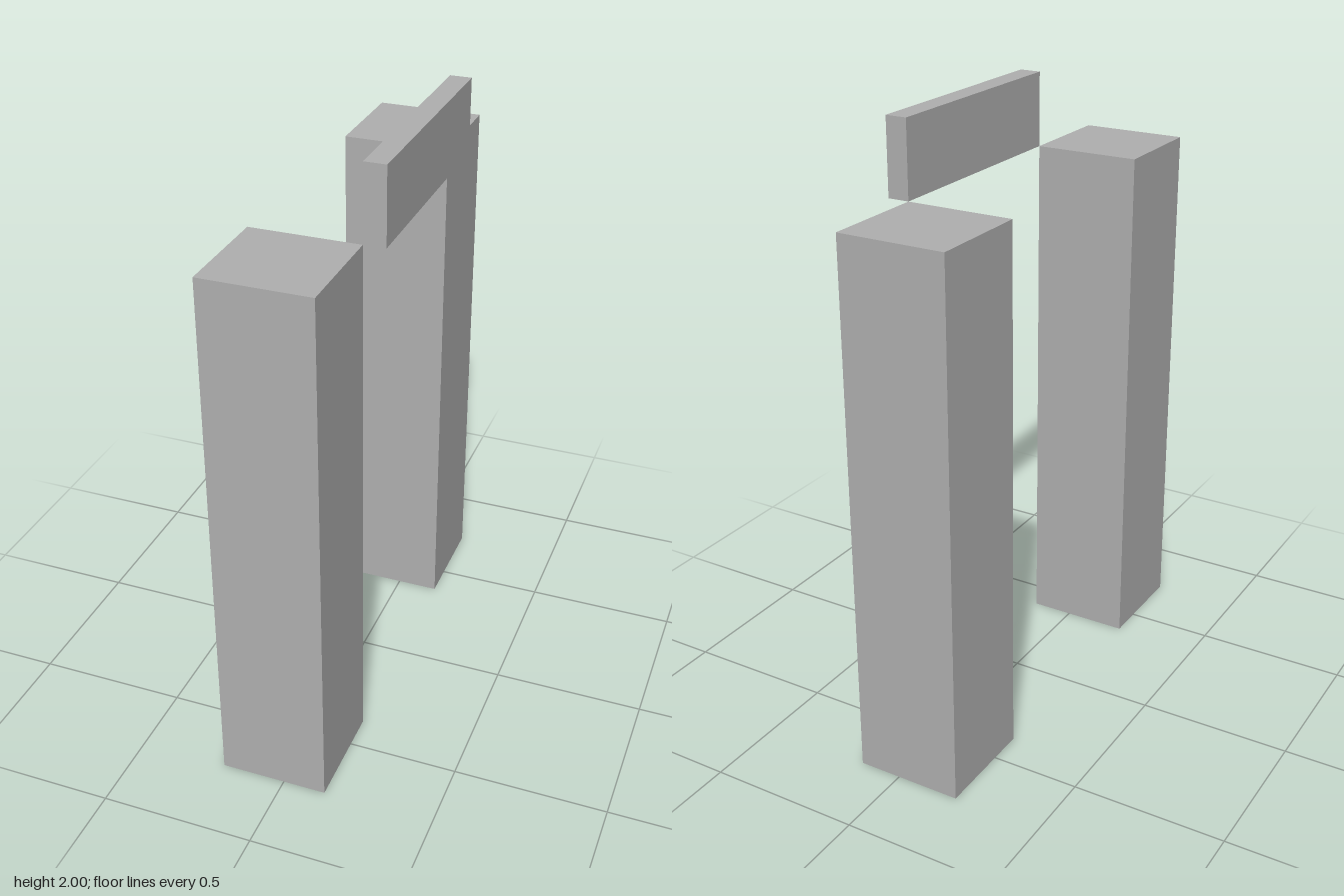
import * as THREE from 'three';

export function createModel() {
  const group = new THREE.Group();
  const grey = new THREE.MeshStandardMaterial({ color: 0xb0b0b0 });
  grey.name = 'grey';

  const pillarWidth = 0.35, pillarHeight = 1.755, gap = 0.77;
  const barDepth = 0.07, totalHeight = 2;
  const left = (pillarWidth + barDepth) / 2;

  function box(name, w, h, d, x, y, z) {
    const mesh = new THREE.Mesh(new THREE.BoxGeometry(w, h, d), grey);
    mesh.name = name;
    mesh.position.set(x, y, z);
    group.add(mesh);
  }

  // Two square pillars, front and back
  for (const side of [1, -1]) {
    box(side > 0 ? 'frontPillar' : 'backPillar',
      pillarWidth, pillarHeight, pillarWidth,
      -left + pillarWidth / 2, pillarHeight / 2, side * (gap + pillarWidth) / 2);
  }

  // Thin crossbar spanning the gap, meeting the pillars at their top corners
  const barHeight = totalHeight - pillarHeight;
  box('crossbar', barDepth, barHeight, gap,
    left - barDepth / 2, pillarHeight + barHeight / 2, 0);

  return group;
}
